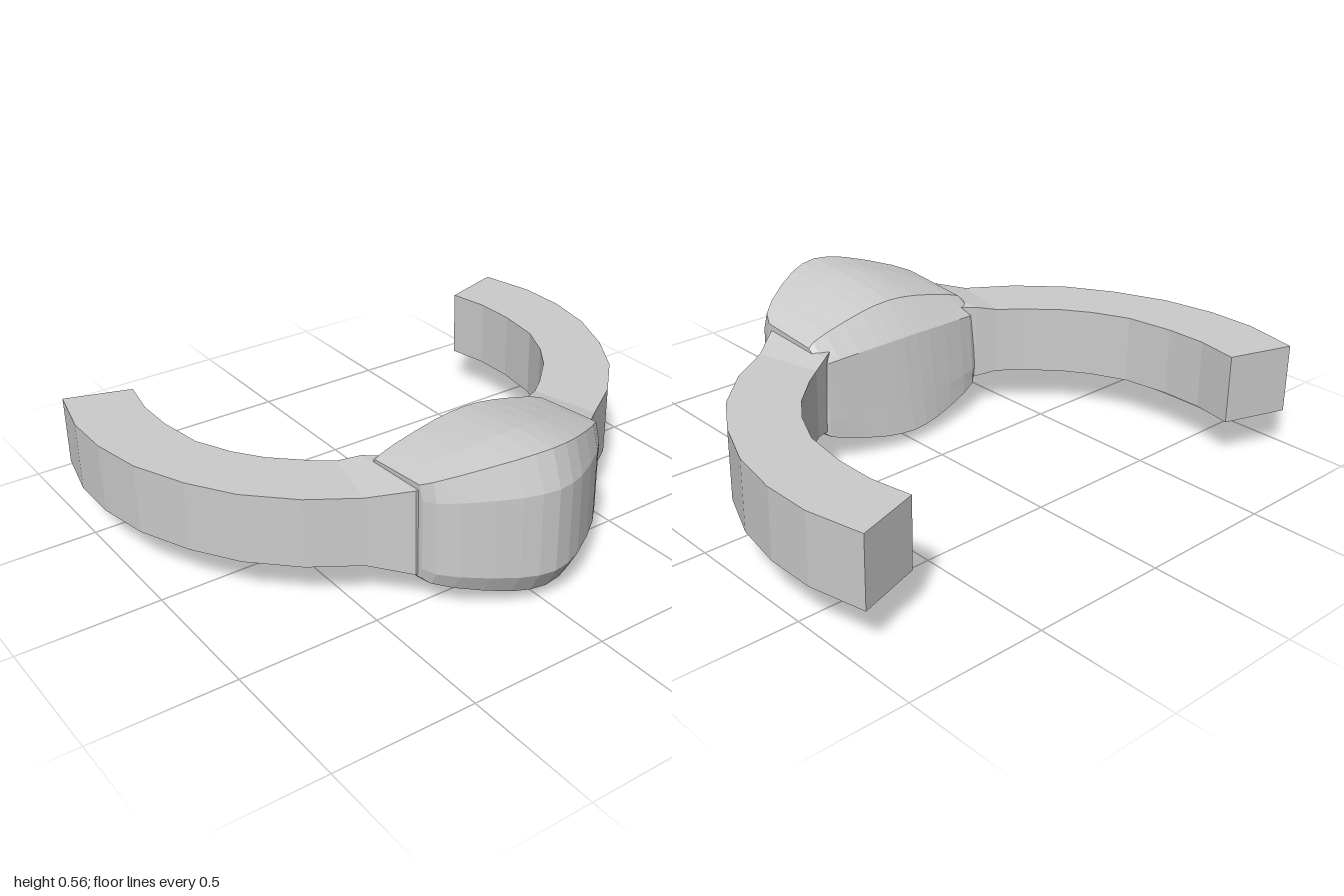
import * as THREE from 'three';

// Joins a series of closed rings of [x, y, z] points and caps both ends.
function loft(rings, flip = false) {
  const n = rings[0].length;
  const index = [];
  const tri = (a, b, c) => (flip ? index.push(a, c, b) : index.push(a, b, c));
  for (let i = 0; i < rings.length - 1; i++) {
    for (let j = 0; j < n; j++) {
      const a = i * n + j, b = i * n + ((j + 1) % n);
      tri(a, b, b + n);
      tri(a, b + n, a + n);
    }
  }
  const last = (rings.length - 1) * n;
  for (let j = 1; j < n - 1; j++) {
    tri(0, j + 1, j);
    tri(last, last + j, last + j + 1);
  }
  const geometry = new THREE.BufferGeometry();
  geometry.setAttribute('position', new THREE.Float32BufferAttribute(rings.flat(2), 3));
  geometry.setIndex(index);
  const flat = geometry.toNonIndexed();
  flat.computeVertexNormals();
  return flat;
}

// Band stations from head to tip: outer x, z, inner x, z, outer and inner half height
const ARM = [
  [0.28, 0.50, 0.28, 0.26, 0.155, 0.14],
  [0.355, 0.51, 0.35, 0.205, 0.155, 0.14],
  [0.48, 0.41, 0.42, 0.165, 0.125, 0.125],
  [0.64, 0.305, 0.485, 0.115, 0.125, 0.125],
  [0.785, 0.16, 0.595, 0.01, 0.125, 0.125],
  [0.885, 0, 0.665, -0.09, 0.125, 0.125],
  [0.965, -0.19, 0.725, -0.22, 0.125, 0.125],
  [1, -0.38, 0.75, -0.39, 0.125, 0.125],
  [1, -0.56, 0.75, -0.54, 0.125, 0.125],
  [0.955, -0.765, 0.722, -0.69, 0.125, 0.125],
];

// Head cross-sections as [z, y], at the middle and at the sides
const MIDDLE = [
  [0.28, 0.515], [0.55, 0.55], [0.72, 0.555], [0.765, 0.43], [0.765, 0.13], [0.72, 0.05],
  [0.58, 0], [0.42, 0.01], [0.14, 0.05], [0.155, 0.15], [0.19, 0.40],
];
const SIDE = [
  [0.28, 0.43], [0.42, 0.44], [0.515, 0.45], [0.53, 0.40], [0.53, 0.15], [0.51, 0.11],
  [0.46, 0.105], [0.38, 0.11], [0.21, 0.13], [0.205, 0.18], [0.22, 0.38],
];
// Distance from the middle and blend towards the side section
const BLEND = [[0, 0], [0.06, 0.04], [0.12, 0.14], [0.2, 0.34], [0.28, 0.58], [0.335, 0.8], [0.355, 1]];

export function createModel() {
  const group = new THREE.Group();
  const material = new THREE.MeshStandardMaterial({ color: 0xcccccc, flatShading: true });
  const add = (name, geometry) => {
    const mesh = new THREE.Mesh(geometry, material);
    mesh.name = name;
    group.add(mesh);
  };

  // Two curved arms of the open band
  for (const s of [1, -1]) {
    const rings = ARM.map(([ox, oz, ix, iz, ho, hi]) => [
      [s * ix, 0.275 + hi, iz], [s * ox, 0.275 + ho, oz],
      [s * ox, 0.275 - ho, oz], [s * ix, 0.275 - hi, iz],
    ]);
    add(s > 0 ? 'leftArm' : 'rightArm', loft(rings, s < 0));
  }

  // Rounded head at the front
  const stations = [
    ...BLEND.slice(1).reverse().map(([x, f]) => [-x, f]),
    ...BLEND,
  ];
  add('head', loft(stations.map(([x, f]) => MIDDLE.map(([z, y], k) => [
    x + 0.01,
    THREE.MathUtils.lerp(y, SIDE[k][1], f),
    THREE.MathUtils.lerp(z, SIDE[k][0], f),
  ]))));

  return group;
}
